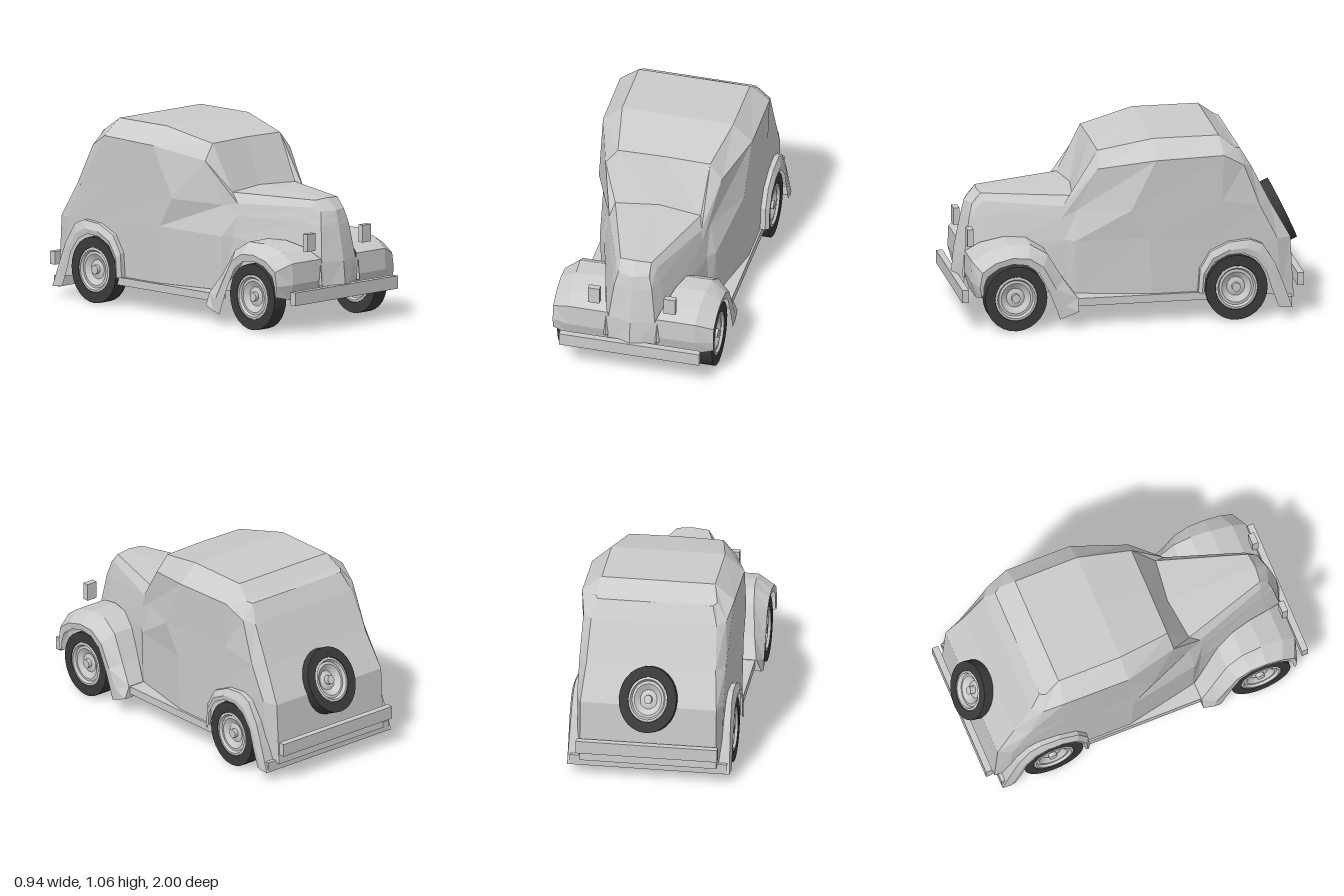
import * as THREE from 'three';

const paint = new THREE.MeshStandardMaterial({ color: 0xcccccc, flatShading: true, side: THREE.DoubleSide });
const rubber = new THREE.MeshStandardMaterial({ color: 0x3a3a3a, flatShading: true });

// Faceted surface through rows of [x, y, z] points
function loft(rows) {
  const pos = [];
  for (let i = 0; i < rows.length - 1; i++) {
    for (let j = 0; j < rows[i].length - 1; j++) {
      const a = rows[i][j], b = rows[i + 1][j], c = rows[i + 1][j + 1], d = rows[i][j + 1];
      pos.push(...a, ...b, ...c, ...a, ...c, ...d);
    }
  }
  const g = new THREE.BufferGeometry();
  g.setAttribute('position', new THREE.Float32BufferAttribute(pos, 3));
  g.computeVertexNormals();
  return g;
}

function add(parent, name, geometry, material = paint) {
  const m = new THREE.Mesh(geometry, material);
  m.name = name;
  parent.add(m);
  return m;
}

function box(parent, name, w, h, d, x, y, z) {
  add(parent, name, new THREE.BoxGeometry(w, h, d)).position.set(x, y, z);
}

// Half sections, sill to roof centre, running from nose to tail; open underneath
function bodyGeometry() {
  const edge = [[.14, .17, .935], [.135, .38, .93], [.11, .58, .9], [.1, .62, .89], [.09, .66, .88], [0, .66, .91]];
  const ridge = [[0, .17, .99], [0, .38, .97], [0, .58, .93], [0, .62, .92], [0, .66, .91], [0, .66, .91]];
  const tail = [[.39, .1, -.92], [.39, .46, -.9], [.37, .66, -.79], [.36, .88, -.68], [.33, .98, -.62], [0, .98, -.62]];
  const halves = [
    ridge, edge,
    [[.18, .18, .84], [.17, .4, .84], [.14, .6, .82], [.12, .68, .82], [.09, .72, .83], [0, .725, .84]],
    [[.31, .17, .36], [.3, .48, .385], [.28, .6, .4], [.27, .67, .39], [.25, .725, .33], [0, .735, .3]],
    [[.33, .17, .32], [.34, .48, .33], [.3, .655, .31], [.34, .9, .2], [.27, .99, .19], [0, .995, .19]],
    [[.42, .17, -.1], [.425, .5, -.08], [.425, .67, .02], [.437, .96, -.12], [.325, 1.06, -.12], [0, 1.06, -.12]],
    [[.42, .17, -.5], [.425, .5, -.5], [.43, .7, -.5], [.437, .97, -.51], [.325, 1.06, -.5], [0, 1.06, -.5]],
    [[.41, .12, -.84], [.42, .46, -.82], [.42, .66, -.72], [.41, .9, -.63], [.35, .99, -.59], [0, .99, -.6]],
    tail,
    tail.map(([, y, z]) => [0, y, z]),
  ];
  return loft(halves.map(h => [...h, ...h.slice(0, -1).reverse().map(([x, y, z]) => [-x, y, z])]));
}

// Fender swept front to back: crown curve and wheel opening are [z, y] lists
function fenderGeometry(side, crown, opening, inner, edge) {
  const { lerp } = THREE.MathUtils;
  const rows = crown.map(([z, y], i) => {
    const [qz, qy] = opening[i];
    const t = i / (crown.length - 1);
    const row = [
      [.465, qy, qz],
      [.47, lerp(y, qy, .6), lerp(z, qz, .6)],
      [lerp(edge, .465, t ** 3), y, z],
      [lerp(inner, .36, t), y, z],
    ].map(([x, py, pz]) => [side * x, py, pz]);
    return side > 0 ? row : row.reverse();
  });
  return loft(rows);
}

// Tyre, dished rim and hub around the local y axis
function makeWheel(name) {
  const wheel = new THREE.Group();
  wheel.name = name;
  const lathe = pts => new THREE.LatheGeometry(pts.map(p => new THREE.Vector2(...p)), 28);
  add(wheel, 'tyre', lathe([[.125, -.04], [.13, -.047], [.19, -.047], [.19, .047], [.13, .047],
    [.125, .04], [.125, -.04]]), rubber);
  const face = [[.128, .045], [.115, .047], [.105, .033], [.09, .035], [.055, .015], [.035, .02], [0, .02]];
  add(wheel, 'rim', lathe([...face.map(([r, y]) => [r, -y]).reverse(), ...face]));
  add(wheel, 'hub', new THREE.CylinderGeometry(.026, .026, .085, 14));
  return wheel;
}

export function createModel() {
  const car = new THREE.Group();
  car.name = 'car';

  add(car, 'body', bodyGeometry());

  const frontCrown = [[.91, .19], [.935, .28], [.93, .4], [.85, .455], [.72, .49], [.6, .49], [.5, .43], [.41, .28], [.33, .17], [.33, .1]];
  const frontOpening = [[.88, .23], [.88, .27], [.86, .33], [.79, .38], [.71, .4], [.63, .39], [.56, .34], [.5, .22], [.46, .12], [.44, .06]];
  const rearCrown = [[-.36, .17], [-.37, .31], [-.43, .41], [-.54, .46], [-.66, .47], [-.73, .44], [-.8, .33], [-.85, .2], [-.9, .06]];
  const rearOpening = [[-.39, .17], [-.4, .27], [-.45, .35], [-.53, .39], [-.62, .395], [-.69, .36], [-.75, .28], [-.78, .18], [-.82, .07]];

  for (const side of [1, -1]) {
    const label = side > 0 ? 'left' : 'right';
    box(car, label + 'RunningBoard', .115, .045, .76, side * .3725, .145, -.04);
    add(car, label + 'FrontFender', fenderGeometry(side, frontCrown, frontOpening, .08, .37));
    add(car, label + 'RearFender', fenderGeometry(side, rearCrown, rearOpening, .38, .45));
    box(car, label + 'Headlight', .067, .1, .035, side * .222, .505, .917);
    // Leaf-shaped trim beside the grille
    const trim = add(car, label + 'GrilleTrim', new THREE.ConeGeometry(.014, .13, 4));
    trim.position.set(side * .15, .315, .935);
    for (const [end, z] of [['Front', .69], ['Rear', -.58]]) {
      const wheel = makeWheel(label + end + 'Wheel');
      wheel.rotation.z = -side * Math.PI / 2;
      wheel.scale.z = .94;
      wheel.position.set(side * .405, .19, z);
      car.add(wheel);
    }
  }

  // Bumpers and the panel below the tail
  box(car, 'frontBumper', .82, .075, .038, 0, .208, .975);
  box(car, 'rearBumper', .81, .075, .038, 0, .208, -.958);
  box(car, 'rearValance', .9, .06, .04, 0, .09, -.88);

  // Spare wheel leaning on the tail, sunk slightly into it
  const spare = makeWheel('spareWheel');
  spare.rotation.x = -1.137;
  spare.scale.set(.87, 1.5, 1);
  spare.position.set(0, .485, -.861);
  car.add(spare);

  return car;
}
